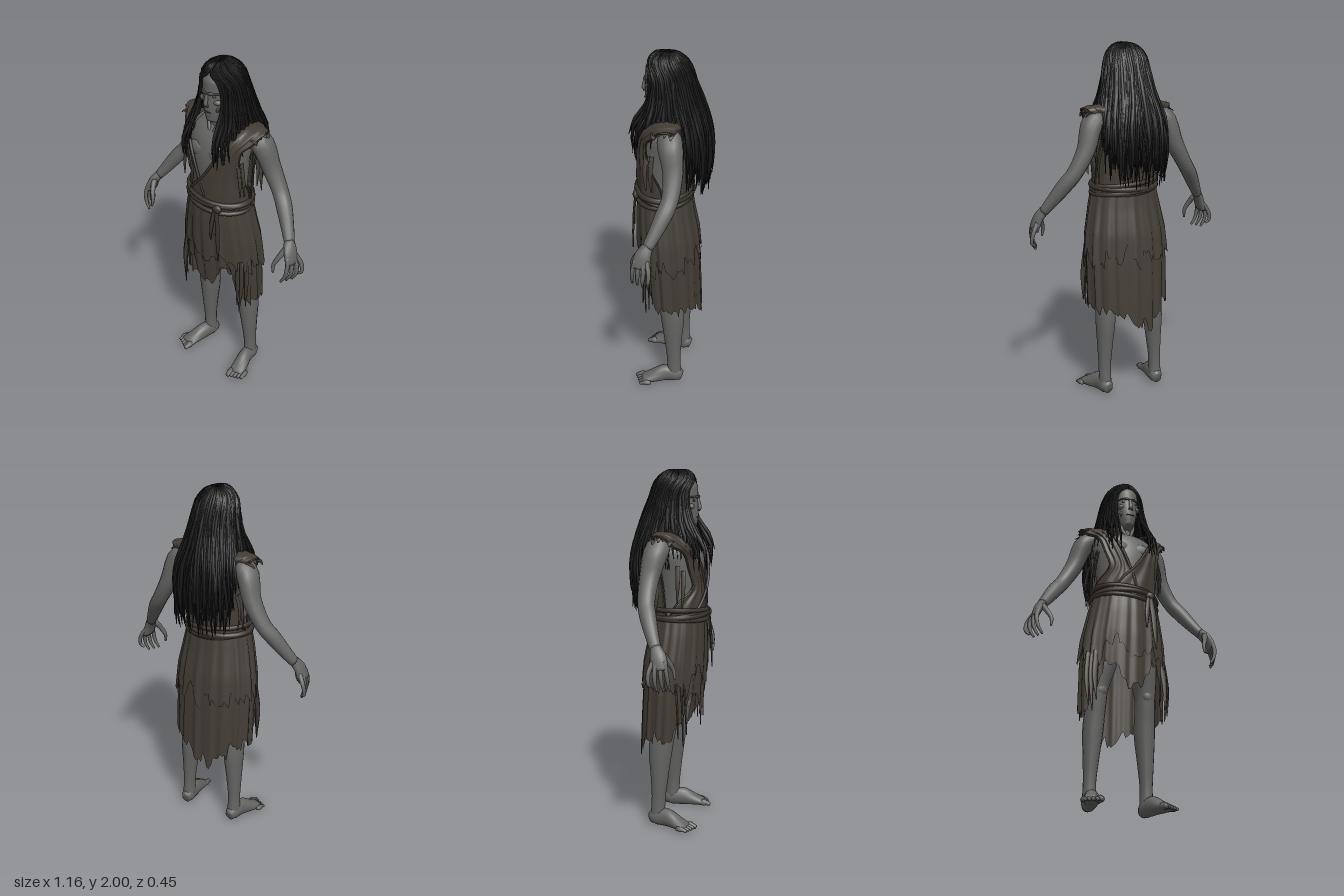
import * as THREE from 'three';
import { mergeGeometries } from 'three/addons/utils/BufferGeometryUtils.js';

const V = (x, y, z) => new THREE.Vector3(x, y, z);
const RAD = Math.PI / 180;
const paint = (name, color, side = THREE.DoubleSide) => {
  const m = new THREE.MeshStandardMaterial({ color, side });
  m.name = name;
  return m;
};

let seed = 7;
const rnd = () => (seed = (seed * 16807) % 2147483647) / 2147483647;
const jit = (a) => (rnd() - 0.5) * 2 * a;

// linear lookup in rows of [key, value, value, ...]
function lookup(rows, key) {
  const up = rows[rows.length - 1][0] > rows[0][0];
  let i = 0;
  while (i < rows.length - 2 && (up ? key > rows[i + 1][0] : key < rows[i + 1][0])) i++;
  const a = rows[i], b = rows[i + 1];
  const t = THREE.MathUtils.clamp((key - a[0]) / (b[0] - a[0]), 0, 1);
  return a.map((v, k) => v + (b[k] - v) * t);
}

// surface from f(u, v) -> Vector3
function grid(nu, nv, f, closed = false) {
  const pos = [], idx = [], w = closed ? nu : nu + 1;
  for (let i = 0; i <= nv; i++)
    for (let j = 0; j < w; j++) pos.push(...f(j / nu, i / nv).toArray());
  for (let i = 0; i < nv; i++)
    for (let j = 0; j < nu; j++) {
      const a = i * w + j, b = i * w + ((j + 1) % w);
      idx.push(a, b, b + w, a, b + w, a + w);
    }
  const g = new THREE.BufferGeometry();
  g.setAttribute('position', new THREE.Float32BufferAttribute(pos, 3));
  g.setIndex(idx);
  g.computeVertexNormals();
  return g;
}

// closed limb through [x, y, z, radius, depth radius]
function limb(pts, n = 12, seg = pts.length * 3, ref = V(0, 0, 1)) {
  const path = new THREE.CatmullRomCurve3(pts.map((p) => V(p[0], p[1], p[2])));
  const size = new THREE.CatmullRomCurve3(pts.map((p) => V(p[3], p[4] ?? p[3], 0)));
  return grid(n, seg + 2, (u, v) => {
    const row = Math.round(v * (seg + 2));
    const t = THREE.MathUtils.clamp((row - 1) / seg, 0, 1);
    const c = path.getPoint(t), r = size.getPoint(t), tan = path.getTangent(t);
    const a = V(0, 0, 0).crossVectors(ref, tan).normalize();
    const b = V(0, 0, 0).crossVectors(tan, a);
    const k = row === 0 || row === seg + 2 ? 0 : 1, q = u * Math.PI * 2;
    return c.addScaledVector(a, Math.cos(q) * r.x * k).addScaledVector(b, Math.sin(q) * r.y * k);
  }, true);
}
const mirrorPts = (pts, s) => pts.map(([x, ...rest]) => [x * s, ...rest]);
// ellipsoid, without uv so that it merges with limbs
const blob = (x, y, z, rx, ry, rz) =>
  new THREE.SphereGeometry(1, 14, 10).deleteAttribute('uv').scale(rx, ry, rz).translate(x, y, z);

export function createModel() {
  const root = new THREE.Group();
  const skin = paint('grey skin', 0x646463, THREE.FrontSide);
  const shade = paint('sunken skin', 0x3f3e3d, THREE.FrontSide);
  const cloth = paint('brown cloth', 0x443d36);
  const trim = paint('dark cloth', 0x3c352f);
  const hair = paint('black hair', 0x161616);
  const add = (name, mat, ...geos) => {
    const mesh = new THREE.Mesh(geos.length > 1 ? mergeGeometries(geos) : geos[0], mat);
    mesh.name = name;
    root.add(mesh);
  };

  // torso, neck and head
  add('torso', skin, limb([[0, 1.0, 0.03, 0.15, 0.11], [0, 1.18, 0.05, 0.155, 0.125], [0, 1.32, 0.05, 0.162, 0.13],
    [0, 1.46, 0.05, 0.178, 0.135], [0, 1.55, 0.04, 0.19, 0.122], [0, 1.62, 0.025, 0.16, 0.085],
    [0, 1.66, 0.025, 0.08, 0.06]], 28));
  add('neck', skin, limb([[0, 1.6, 0.03, 0.065], [0, 1.7, 0.05, 0.05], [0, 1.8, 0.05, 0.05]]),
    ...[1, -1].map((s) => limb([[0.01 * s, 1.605, 0.12, 0.009], [0.035 * s, 1.67, 0.1, 0.01], [0.05 * s, 1.76, 0.06, 0.01]], 8)));
  add('head', skin, limb([[0, 1.675, 0.115, 0.028, 0.03], [0, 1.71, 0.1, 0.045, 0.055], [0, 1.77, 0.08, 0.064, 0.078],
    [0, 1.83, 0.06, 0.078, 0.095], [0, 1.89, 0.045, 0.086, 0.105], [0, 1.94, 0.04, 0.07, 0.085],
    [0, 1.965, 0.04, 0.035, 0.04]], 24));
  add('nose', skin, limb([[0, 1.845, 0.15, 0.008], [0, 1.81, 0.158, 0.01], [0, 1.79, 0.161, 0.013, 0.01], [0, 1.778, 0.153, 0.009]], 10));
  add('cheekbones', skin, ...[1, -1].map((s) => blob(0.045 * s, 1.8, 0.122, 0.024, 0.016, 0.02)));
  add('brow', shade, limb([[-0.068, 1.848, 0.11, 0.004], [-0.035, 1.851, 0.144, 0.005], [0, 1.847, 0.154, 0.005],
    [0.035, 1.851, 0.144, 0.005], [0.068, 1.848, 0.11, 0.004]], 8, 16, V(0, 1, 0)));
  add('eyeSockets', shade, ...[1, -1].map((s) => blob(0.031 * s, 1.833, 0.137, 0.018, 0.009, 0.007)));
  add('cheekHollows', shade, ...[1, -1].map((s) => blob(0.045 * s, 1.757, 0.12, 0.01, 0.018, 0.01)));
  add('nostrils', shade, ...[1, -1].map((s) => blob(0.009 * s, 1.778, 0.158, 0.006, 0.005, 0.006)));
  add('mouth', shade, blob(0, 1.742, 0.15, 0.026, 0.003, 0.007));
  add('chestBones', skin, ...[1, -1].flatMap((s) => [
    limb(mirrorPts([[0.015, 1.595, 0.125, 0.01], [0.08, 1.61, 0.1, 0.01], [0.15, 1.625, 0.05, 0.01]], s), 8, 8, V(0, 1, 0)),
    blob(0.065 * s, 1.505, 0.15, 0.06, 0.045, 0.032)]));

  // arms, hands, legs and feet
  for (const s of [1, -1]) {
    const side = s > 0 ? 'left' : 'right';
    add(side + 'Arm', skin, limb(mirrorPts([[0.16, 1.61, -0.005, 0.05], [0.222, 1.575, -0.02, 0.058, 0.068],
      [0.272, 1.44, -0.045, 0.05, 0.055], [0.345, 1.31, -0.042, 0.042, 0.046], [0.39, 1.25, -0.02, 0.042, 0.045],
      [0.45, 1.16, 0.02, 0.034, 0.036], [0.49, 1.1, 0.05, 0.026, 0.03]], s), 14));
    const fingers = [0, 1, 2, 3].map((k) => limb(mirrorPts([[0.525, 1.045, 0.045 + 0.02 * k, 0.013],
      [0.56 - 0.008 * k, 0.985, 0.03 + 0.03 * k, 0.012], [0.567 - 0.013 * k, 0.935, 0.033 + 0.031 * k, 0.01],
      [0.545 - 0.014 * k, 0.89 + (k === 0 ? 0.025 : 0), 0.04 + 0.03 * k, 0.006]], s), 8));
    add(side + 'Hand', skin,
      limb(mirrorPts([[0.485, 1.11, 0.047, 0.026, 0.03], [0.515, 1.06, 0.07, 0.024, 0.045], [0.535, 1.0, 0.078, 0.018, 0.05]], s)),
      limb(mirrorPts([[0.495, 1.08, 0.085, 0.018], [0.475, 1.03, 0.12, 0.014], [0.458, 0.985, 0.138, 0.011], [0.462, 0.94, 0.145, 0.006]], s), 8),
      ...fingers);
    add(side + 'Leg', skin, limb(mirrorPts([[0.09, 1.05, 0.03, 0.085], [0.115, 0.85, 0.03, 0.082, 0.09], [0.138, 0.7, 0.015, 0.062, 0.075],
      [0.142, 0.63, 0.01, 0.053, 0.068], [0.15, 0.48, -0.018, 0.056, 0.07], [0.158, 0.3, -0.025, 0.044, 0.052],
      [0.163, 0.15, -0.03, 0.034, 0.04], [0.163, 0.05, -0.035, 0.036, 0.042]], s), 16),
      blob(0.138 * s, 0.655, 0.062, 0.032, 0.04, 0.022));
    const toes = [0, 1, 2, 3, 4].map((k) => {
      const x = 0.172 + 0.019 * k, z = 0.182 - 0.009 * k, r = k ? 0.011 : 0.015;
      return limb(mirrorPts([[x, 0.025, z - 0.05, r], [x + 0.004, 0.022, z - 0.01, r], [x + 0.005, 0.014, z + 0.012, r * 0.8]], s), 8, 6, V(0, 1, 0));
    });
    add(side + 'Foot', skin, limb(mirrorPts([[0.16, 0.038, -0.078, 0.025, 0.03], [0.163, 0.05, -0.045, 0.038, 0.048],
      [0.172, 0.055, 0.02, 0.038, 0.053], [0.192, 0.036, 0.09, 0.046, 0.035], [0.207, 0.02, 0.15, 0.05, 0.019]], s), 14, 16, V(0, 1, 0)), ...toes);
  }

  // wrapped bodice: rows of [y, centre z, rx, rz, inner angle, outer angle], over the shoulder from front to back
  const bodiceRows = [[1.18, 0.05, 0.18, 0.143, -55, 100], [1.28, 0.05, 0.18, 0.147, -24, 95], [1.37, 0.05, 0.185, 0.147, 1, 78],
    [1.47, 0.05, 0.198, 0.147, 19, 66], [1.56, 0.045, 0.22, 0.138, 29, 64], [1.62, 0.035, 0.245, 0.108, 29, 74],
    [1.668, 0.02, 0.262, 0.03, 24, 88], [1.665, -0.02, 0.255, 0.05, 160, 98], [1.62, 0.01, 0.235, 0.1, 178, 108],
    [1.52, 0.03, 0.205, 0.135, 180, 112], [1.4, 0.04, 0.187, 0.14, 180, 106], [1.18, 0.045, 0.182, 0.14, 180, 98]];
  for (const s of [1, -1]) {
    const wrap = s > 0, k = wrap ? 1.035 : 1;
    const starts = wrap ? [] : [-10, -2, 8], stops = wrap ? [] : [100, 80, 45, 52, 58];
    const strand = (u) => new THREE.CatmullRomCurve3(bodiceRows.map(([y, cz, rx, rz, a, b], i) => {
      const q = ((starts[i] ?? a) * (1 - u) + (stops[i] ?? b) * u) * RAD;
      const fold = 1 + 0.022 * Math.sin(u * 21 + i * 0.5);
      return V(s * rx * k * fold * Math.sin(q), y - (i > 4 && i < 9 ? 0.02 * u * u : 0), cz + rz * k * fold * Math.cos(q));
    }));
    const name = wrap ? 'left' : 'right';
    add(name + 'Bodice', cloth, grid(32, 48, (u, v) => strand(u).getPoint(v)));
    // rolled edges at neckline and armhole
    [0, 1].forEach((u) => add(name + (u ? 'ArmholeEdge' : 'Collar'), trim,
      new THREE.TubeGeometry(strand(u), 50, u ? 0.005 : 0.008, 6)));
    // torn shoulder tips and strips hanging by the armhole
    const strips = [];
    for (let i = 0; i < 4; i++) {
      const z = 0.06 - i * 0.03, y = 1.645 - Math.abs(z - 0.01) * 0.5;
      strips.push(limb(mirrorPts([[0.23, y + 0.008, z, 0.004, 0.02], [0.252, y + 0.002, z, 0.003, 0.016],
        [0.27 + jit(0.012), y - 0.002 - rnd() * 0.015, z, 0.002, 0.003]], s), 6));
    }
    for (const z of [0.115, 0.085, -0.03, -0.055]) {
      const y = 1.46 + jit(0.04);
      strips.push(limb(mirrorPts([[0.182, y, z, 0.003, 0.014], [0.2, y - 0.1, z + 0.005, 0.003, 0.013],
        [0.198 + jit(0.012), y - 0.2, z, 0.002, 0.003]], s), 6));
    }
    // long tatters at the front corners of the skirt
    for (const [x, z, y] of [[0.2, 0.125, 0.56], [0.215, 0.11, 0.5], [0.23, 0.085, 0.54]])
      strips.push(limb(mirrorPts([[x - 0.01, 0.85, z, 0.018, 0.004], [x + 0.005, 0.7, z + 0.012, 0.016, 0.004],
        [x + jit(0.01), y, z + 0.015, 0.003]], s), 6));
    add(name + 'Tatters', cloth, ...strips);
  }

  // skirt: rows of [y, rx, rz, centre z]; hem rows of [angle from front, y]
  const skirtRows = [[1.22, 0.18, 0.145, 0.05], [1.1, 0.205, 0.155, 0.045], [0.95, 0.232, 0.168, 0.03], [0.8, 0.243, 0.17, 0.02],
    [0.6, 0.242, 0.17, 0.01], [0.3, 0.24, 0.17, 0]];
  function ragged(name, grow, hemRows, rough, spikeLength) {
    const n = 108;
    let tooth = 0;
    const hem = Array.from({ length: n }, (_, j) => {
      if (j % 4 === 0) tooth = jit(rough);
      const deg = (j / n) * 360, a = deg > 180 ? 360 - deg : deg;
      const spike = Math.max(0, 1 - Math.abs(deg - 196) / 9) * spikeLength;
      return lookup(hemRows, a)[1] + tooth + jit(rough * 0.6) - (j % 4) * rough * 0.3 - spike;
    });
    add(name, cloth, grid(n, 16, (u, v) => {
      const y = THREE.MathUtils.lerp(1.22, hem[Math.round(u * n) % n], v);
      const [, rx, rz, cz] = lookup(skirtRows, y), q = u * Math.PI * 2;
      const k = grow * (1 + (0.012 + 0.02 * v) * (Math.sin(q * 17) + 0.6 * Math.sin(q * 29 + 1)));
      return V(rx * k * Math.sin(q), y, cz + rz * k * Math.cos(q));
    }, true));
  }
  ragged('skirt', 0.98, [[0, 0.64], [14, 0.67], [22, 0.79], [40, 0.79], [52, 0.64], [75, 0.54], [110, 0.55],
    [140, 0.51], [170, 0.46], [180, 0.45]], 0.028, 0.1);
  ragged('skirtOverlay', 1.03, [[0, 0.86], [25, 0.9], [60, 0.8], [90, 0.82], [130, 0.86], [180, 0.84]], 0.05, 0);

  // wound belt, knot and hanging ends
  const ring = (y, tilt, r, phase) => new THREE.TubeGeometry(new THREE.CatmullRomCurve3(
    Array.from({ length: 24 }, (_, i) => {
      const q = (i / 24) * Math.PI * 2;
      return V(0.19 * Math.sin(q), y + tilt * Math.sin(q + phase), 0.05 + 0.153 * Math.cos(q));
    }), true), 72, r, 8, true);
  add('belt', trim, ring(1.235, -0.015, 0.013, 0), ring(1.21, 0.008, 0.015, 1), ring(1.185, -0.014, 0.013, 0.3), ring(1.2, 0.025, 0.009, 2));
  add('beltKnot', trim, blob(0.1, 1.205, 0.19, 0.03, 0.026, 0.02),
    limb([[0.1, 1.2, 0.195, 0.014, 0.007], [0.115, 1.08, 0.204, 0.017, 0.006], [0.12, 0.98, 0.208, 0.014, 0.005], [0.125, 0.88, 0.21, 0.004]], 8),
    limb([[0.09, 1.2, 0.195, 0.012, 0.007], [0.075, 1.1, 0.208, 0.014, 0.006], [0.07, 1.0, 0.21, 0.004]], 8));

  // hair: rows of [y, rx, back rz, front rz, centre z]
  const hairRows = [[1.994, 0.004, 0.025, 0.04, 0.03], [1.985, 0.045, 0.055, 0.07, 0.03], [1.965, 0.08, 0.088, 0.092, 0.03],
    [1.92, 0.11, 0.118, 0.11, 0.025], [1.82, 0.128, 0.135, 0.12, 0.01], [1.7, 0.15, 0.165, 0.165, 0],
    [1.6, 0.175, 0.185, 0.25, -0.01], [1.5, 0.185, 0.195, 0.262, -0.01], [1.38, 0.185, 0.188, 0.26, -0.01],
    [1.22, 0.175, 0.175, 0.25, -0.01]];
  const hairPoint = (deg, y, k = 1) => {
    const [, rx, back, front, cz] = lookup(hairRows, y);
    const open = 1 + 0.22 * THREE.MathUtils.smoothstep(y, 1.88, 1.97), q = deg * open * RAD;
    const c = Math.cos(q), sn = Math.sin(q), flat = c > 0 ? 1 - 0.25 * THREE.MathUtils.smoothstep(1.9 - y, 0.1, 0.35) : 1;
    const pw = (v) => Math.sign(v) * Math.pow(Math.abs(v), flat);
    return V(rx * k * pw(sn), y, cz - (c > 0 ? back : front) * k * pw(c));
  };
  // length of the hair by angle from the back
  const hairEnd = (deg) => lookup([[0, 1.31], [55, 1.34], [80, 1.5], [100, 1.6], [120, 1.58], [145, 1.52]], Math.abs(deg))[1];
  const ends = Array.from({ length: 97 }, () => 0.03 + jit(0.05));
  add('hairMass', hair, grid(96, 30, (u, v) => {
    const a = -145 + 290 * u, j = Math.round(u * 96);
    const y = THREE.MathUtils.lerp(1.994, hairEnd(a) + ends[j], v * v);
    return hairPoint(a, y, 0.96 + 0.025 * (j % 2));
  }));
  const locks = [];
  for (let i = 0; i < 210; i++) {
    const a = -147 + (294 * i) / 209 + jit(2), end = hairEnd(a) - 0.02 + jit(0.08), drift = jit(10);
    const w = 0.005 + rnd() * 0.006, flare = jit(0.09), pts = [];
    for (let k = 0; k <= 9; k++) {
      const t = k / 9, y = THREE.MathUtils.lerp(1.991, end, t * t);
      const p = hairPoint(a + drift * t + jit(2.5) * t, y, 1 + t * (0.01 + jit(0.05)) + flare * t * t);
      pts.push([p.x, p.y, p.z, k === 9 ? 0.0015 : w * (0.6 + 0.5 * t)]);
    }
    locks.push(limb(pts, 5, 18));
  }
  add('hairLocks', hair, ...locks);
  return root;
}
